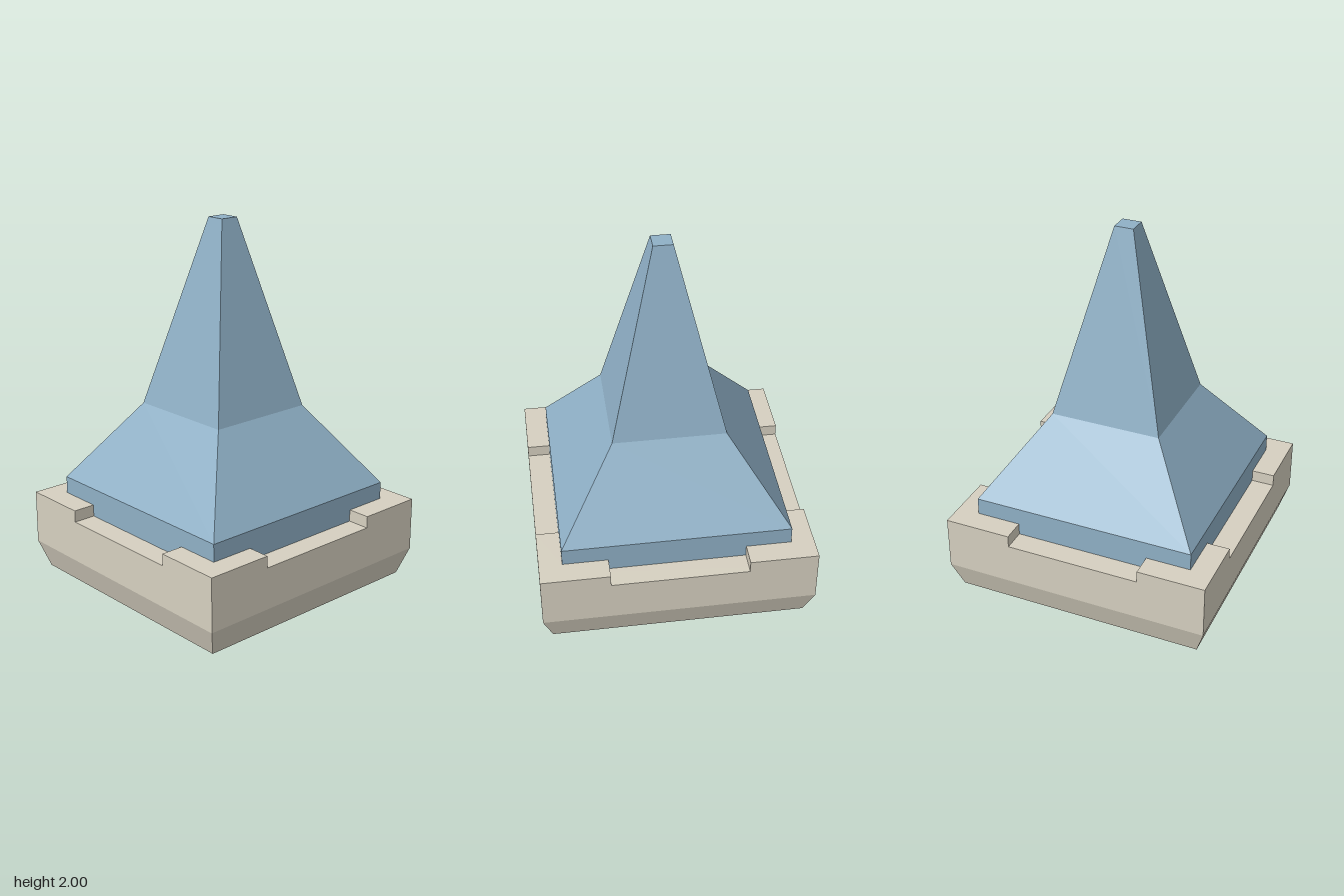
import * as THREE from 'three';

const stone = new THREE.MeshStandardMaterial({ color: 0xd6d0c0, flatShading: true });
const slate = new THREE.MeshStandardMaterial({ color: 0x8fb0c6, flatShading: true });

// Square solid from a profile of [half width, height] points
function squareSolid(name, profile, material) {
  const points = profile.map(([half, y]) => new THREE.Vector2(half * Math.SQRT2, y));
  const geometry = new THREE.LatheGeometry(points, 4, Math.PI / 4).toNonIndexed();
  geometry.computeVertexNormals();
  const mesh = new THREE.Mesh(geometry, material);
  mesh.name = name;
  return mesh;
}

export function createModel() {
  const model = new THREE.Group();
  model.name = 'spireRoof';

  const outer = 0.74, inner = 0.615, gap = 0.37; // wall faces and notch half width
  const ledgeY = 0.38, rimY = 0.445;

  // Masonry base, tapered at the foot, with the ledge around the roof
  model.add(squareSolid('base', [[0, 0], [0.69, 0], [outer, 0.15], [outer, ledgeY], [inner, ledgeY]], stone));

  // Raised L-shaped corners of the parapet
  const corner = new THREE.Shape([
    [gap, inner], [inner, inner], [inner, gap], [outer, gap], [outer, outer], [gap, outer],
  ].map(([x, y]) => new THREE.Vector2(x, y)));
  const cornerGeometry = new THREE.ExtrudeGeometry(corner, { depth: rimY - ledgeY, bevelEnabled: false });
  cornerGeometry.rotateX(-Math.PI / 2);
  for (let i = 0; i < 4; i++) {
    const mesh = new THREE.Mesh(cornerGeometry, stone);
    mesh.name = 'parapetCorner' + (i + 1);
    mesh.position.y = ledgeY;
    mesh.rotation.y = i * Math.PI / 2;
    model.add(mesh);
  }

  // Roof: upright skirt, flared eaves, steep spire and flat tip
  model.add(squareSolid('roof', [[inner, ledgeY], [inner, 0.54], [0.305, 0.98], [0.052, 2], [0, 2]], slate));

  return model;
}
